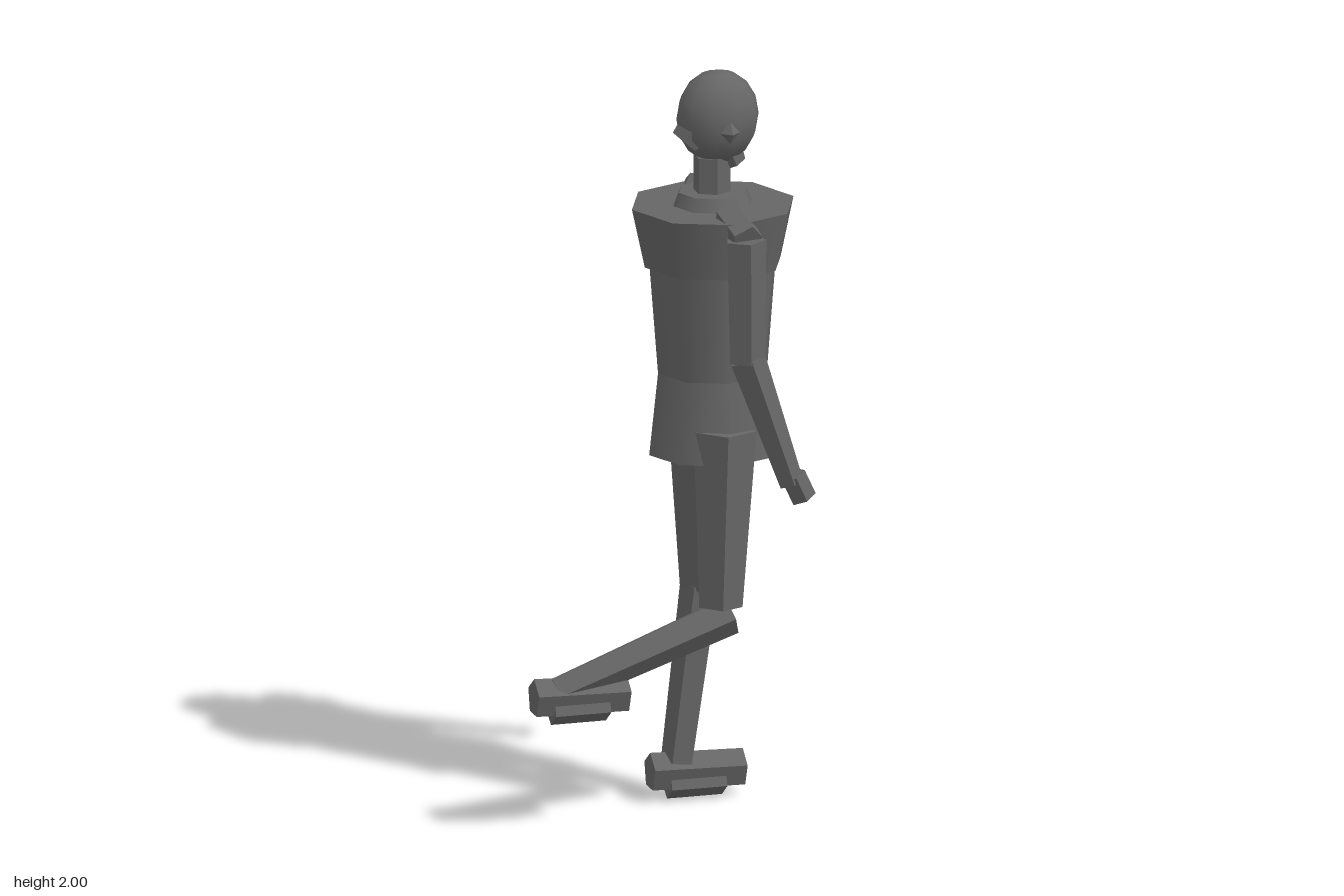
import * as THREE from 'three';

const UP = new THREE.Vector3(0, 1, 0);

export function createModel() {
  const model = new THREE.Group();
  model.name = 'walkingFigure';
  const grey = new THREE.MeshStandardMaterial({ color: 0x666666 });
  grey.name = 'darkGrey';

  const add = (name, geometry, parent = model) => {
    const mesh = new THREE.Mesh(geometry, grey);
    mesh.name = name;
    parent.add(mesh);
    return mesh;
  };

  // Tapered flat-sided prism from point a to point b; spin turns its first corner
  const prism = (name, a, b, ra, rb, spin = 0, sides = 5, parent = model) => {
    const start = new THREE.Vector3(...a);
    const end = new THREE.Vector3(...b);
    const dir = end.clone().sub(start);
    const g = new THREE.CylinderGeometry(rb, ra, dir.length(), sides, 1, false, spin).toNonIndexed();
    g.computeVertexNormals();
    const mesh = add(name, g, parent);
    mesh.position.copy(start).add(end).multiplyScalar(0.5);
    mesh.quaternion.setFromUnitVectors(UP, dir.normalize());
    return mesh;
  };

  // Smooth eight-sided torso section
  const section = (name, y0, y1, r0, r1, depth = 1) => {
    const mesh = add(name, new THREE.CylinderGeometry(r1, r0, y1 - y0, 8));
    mesh.position.set(0.15, (y0 + y1) / 2, 0);
    mesh.scale.z = depth;
  };
  section('pelvis', 0.97, 1.19, 0.173, 0.149, 0.95);
  section('abdomen', 1.19, 1.48, 0.149, 0.172);
  section('chest', 1.48, 1.64, 0.185, 0.22);
  section('neckBase', 1.63, 1.675, 0.112, 0.092);
  prism('neck', [0.148, 1.66, 0], [0.148, 1.77, 0], 0.05, 0.05, 0, 6);

  // Head with smooth skull, chin wedge, nape and ears
  const head = new THREE.Group();
  head.name = 'head';
  model.add(head);
  const skull = add('skull', new THREE.SphereGeometry(1, 10, 8), head);
  skull.scale.set(0.112, 0.125, 0.09);
  skull.position.set(0.163, 1.875, 0);
  const chin = prism('chin', [0.138, 1.887, 0], [0.073, 1.812, 0], 0.06, 0.042, Math.PI / 6, 6, head);
  chin.scale.z = 1.25;
  prism('nape', [0.175, 1.81, 0], [0.205, 1.745, 0], 0.05, 0.036, 0, 6, head);

  for (const s of [1, -1]) {
    const side = s > 0 ? 'right' : 'left';
    const out = s > 0 ? 0 : Math.PI;

    const ear = add(side + 'Ear', new THREE.OctahedronGeometry(1, 0), head);
    ear.position.set(0.17, 1.853, s * 0.092);
    ear.scale.set(0.026, 0.03, 0.025);

    // Arm
    prism(side + 'Shoulder', [0.155, 1.64, s * 0.135], [0.172, 1.6, s * 0.235], 0.048, 0.045, Math.PI / 5);
    prism(side + 'UpperArm', [0.17, 1.6, s * 0.222], [0.173, 1.27, s * 0.222], 0.056, 0.05, out);
    prism(side + 'Forearm', [0.173, 1.28, s * 0.222], [0.295, 0.93, s * 0.22], 0.05, 0.034, out);
    prism(side + 'Hand', [0.3, 0.95, s * 0.22], [0.33, 0.885, s * 0.22], 0.035, 0.035, out);

    // Leg: one bent behind, the other standing
    const bent = s > 0;
    const z = s * 0.113;
    const knee = bent ? [0.135, 0.58, z] : [0.157, 0.57, z];
    prism(side + 'Thigh', [0.148, 1.055, s * 0.105], knee, 0.087, 0.06, out);
    if (bent) prism(side + 'Shin', [0.163, 0.555, z], [-0.31, 0.382, z], 0.054, 0.044, out);
    else prism(side + 'Shin', [0.153, 0.575, z], [0.09, 0.1, z], 0.055, 0.045, out);

    // Foot with a keel-shaped sole
    const foot = new THREE.Group();
    foot.name = side + 'Foot';
    if (bent) foot.position.set(-0.385, 0.295, 0);
    model.add(foot);
    prism('footBody', [0.013, 0.076, z], [0.265, 0.07, z], 0.052, 0.05, -Math.PI / 2, 5, foot);
    prism('sole', [0.06, 0.05, z], [0.21, 0.05, z], 0.05, 0.05, Math.PI / 2, 5, foot);
  }

  return model;
}
